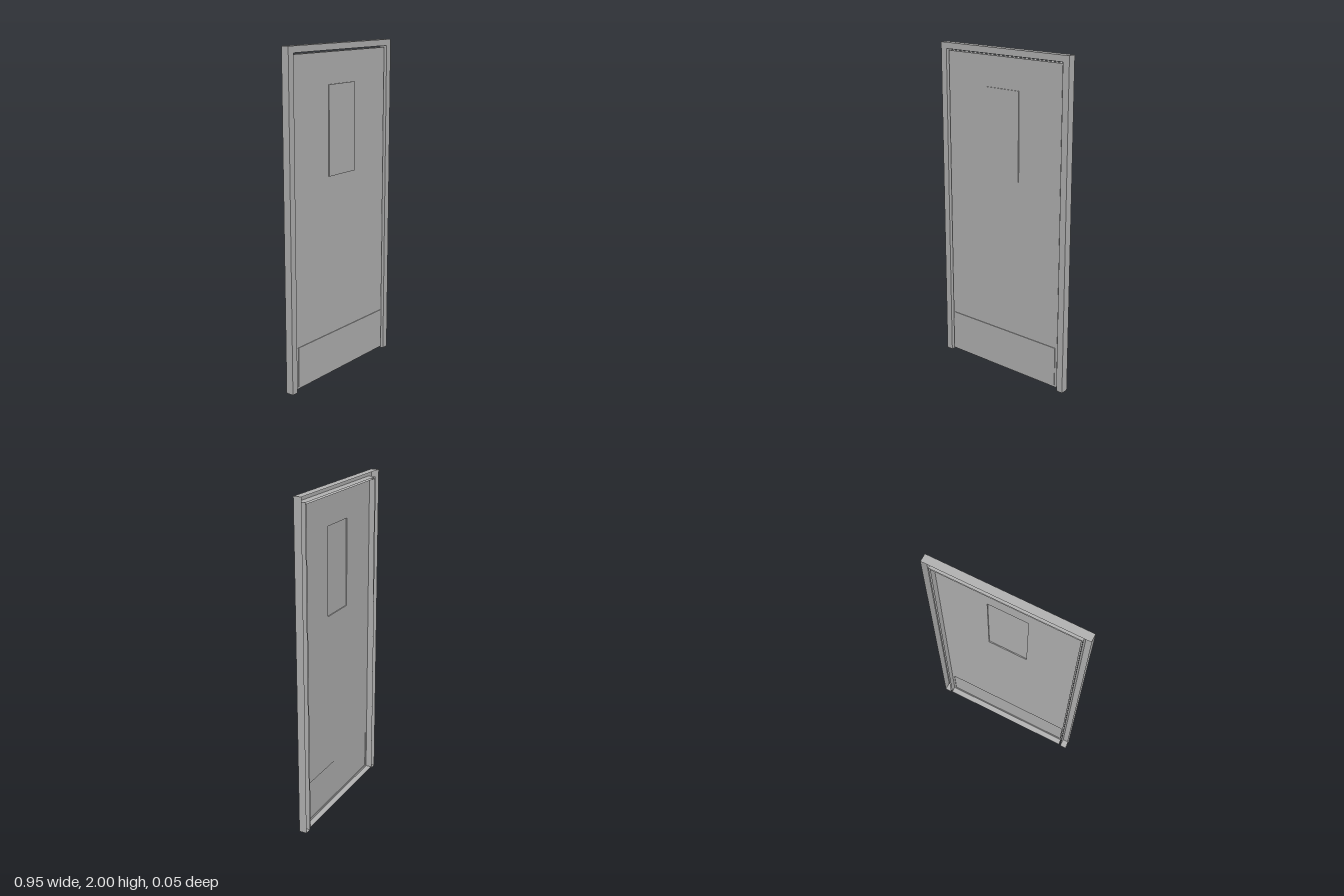
import * as THREE from 'three';

const steel = new THREE.MeshStandardMaterial({ color: 0xb2b2b2, side: THREE.DoubleSide });
steel.name = 'grey steel';

// Corners of an upright rectangle, anticlockwise from the front
const rect = (halfWidth, y0, y1) => [
  [-halfWidth, y0], [halfWidth, y0], [halfWidth, y1], [-halfWidth, y1],
];

const toVectors = (points) => points.map(([x, y]) => new THREE.Vector2(x, y));

function addMesh(parent, name, geometry) {
  const mesh = new THREE.Mesh(geometry, steel);
  mesh.name = name;
  parent.add(mesh);
  return mesh;
}

// Flat sheet facing +z, with optional cut-outs
function sheet(outline, z, cutouts = []) {
  const shape = new THREE.Shape(toVectors(outline));
  cutouts.forEach((c) => shape.holes.push(new THREE.Path(toVectors(c))));
  return new THREE.ShapeGeometry(shape).translate(0, 0, z);
}

// Folded edge: walls along a closed outline, running from zBack to zFront
function foldedEdge(outline, zBack, zFront) {
  const positions = [];
  outline.forEach(([ax, ay], i) => {
    const [bx, by] = outline[(i + 1) % outline.length];
    positions.push(
      ax, ay, zBack, bx, by, zBack, bx, by, zFront,
      ax, ay, zBack, bx, by, zFront, ax, ay, zFront,
    );
  });
  const geometry = new THREE.BufferGeometry();
  geometry.setAttribute('position', new THREE.Float32BufferAttribute(positions, 3));
  geometry.computeVertexNormals();
  return geometry;
}

// Pressed tray: a front sheet with folded edges, open at the back
function tray(name, outline, zBack, zFront, cutouts) {
  const group = new THREE.Group();
  group.name = name;
  addMesh(group, name + 'Face', sheet(outline, zFront, cutouts));
  addMesh(group, name + 'Edges', foldedEdge(outline, zBack, zFront));
  return group;
}

export function createModel() {
  const model = new THREE.Group();
  model.name = 'door';

  const back = -0.024;
  const front = 0.024;
  const leafFront = 0.012;

  // Frame: two jambs and a head in one folded channel
  const outer = 0.473;
  const inner = 0.431;
  const headBottom = 1.963;
  model.add(tray('frame', [
    [-outer, 0], [-inner, 0], [-inner, headBottom], [inner, headBottom],
    [inner, 0], [outer, 0], [outer, 2], [-outer, 2],
  ], back, front));

  // Door leaf, with a clear gap to the frame
  const windowOutline = rect(0.12, 1.24, 1.77);
  const kickOutline = rect(0.407, 0.025, 0.27);
  model.add(tray('leaf', rect(0.421, 0.013, 1.953), back, leafFront,
    [windowOutline, kickOutline]));

  // Raised panels pressed out of the leaf
  model.add(tray('windowPanel', windowOutline, leafFront, leafFront + 0.006));
  model.add(tray('kickPlate', kickOutline, leafFront, leafFront + 0.004));

  return model;
}
